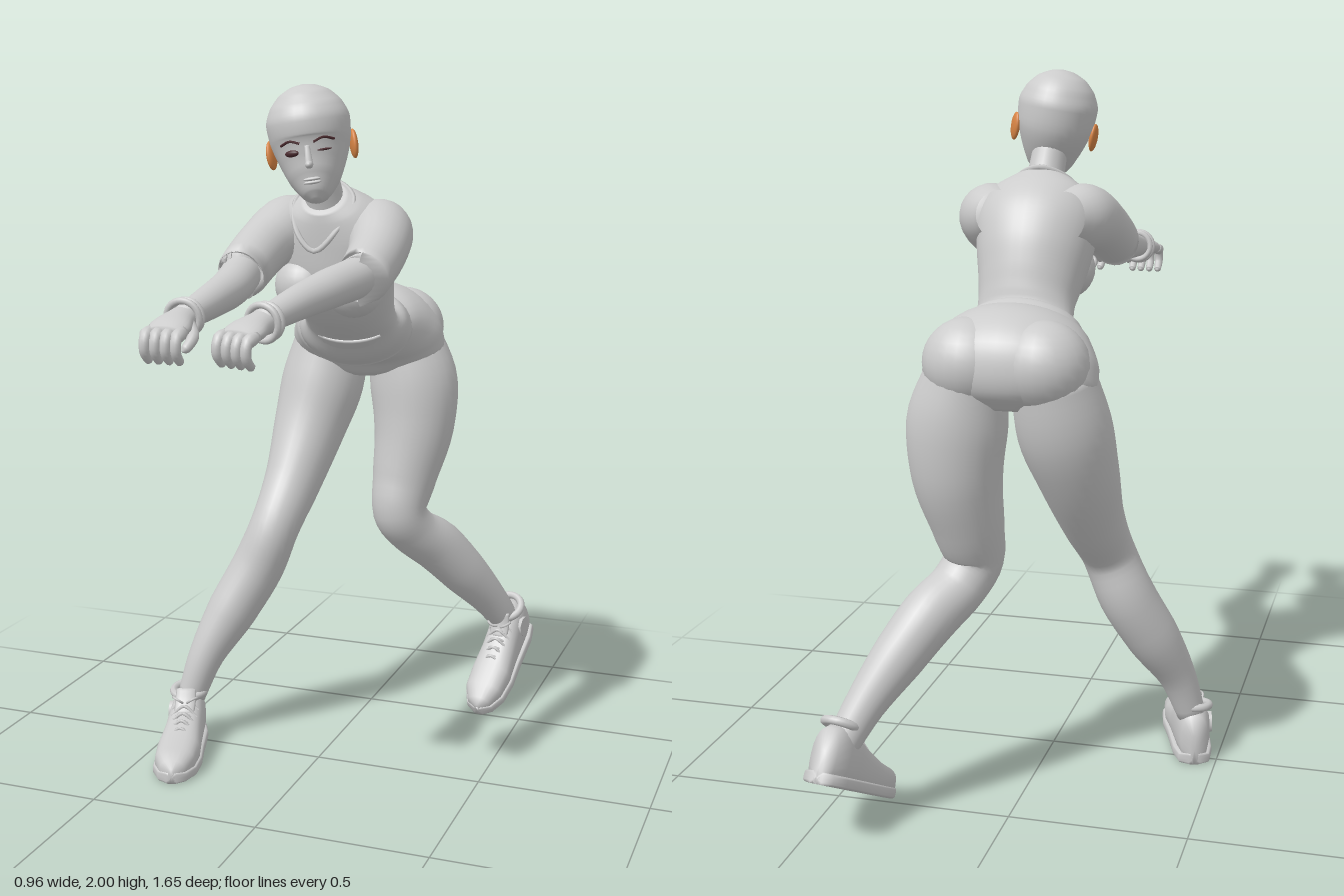
import * as THREE from 'three';

const V = (x, y, z) => new THREE.Vector3(x, y, z);
const grey = new THREE.MeshStandardMaterial({ color: 0xcccccc });
const cloth = new THREE.MeshStandardMaterial({ color: 0xcccccc, side: THREE.DoubleSide });
const orange = new THREE.MeshStandardMaterial({ color: 0xd98545 });
const dark = new THREE.MeshStandardMaterial({ color: 0x4a2a2e });

function add(parent, name, geo, mat = grey) {
  const m = new THREE.Mesh(geo, mat);
  m.name = name;
  parent.add(m);
  return m;
}
const spline = pts => new THREE.CatmullRomCurve3(pts);

// Skin through rings { c: centre, a: half axis, b: half axis }; p < 1 squares the ring
function loft(rings, { seg = 24, p = 1, caps = true } = {}) {
  const pos = [], idx = [], n = rings.length;
  const pw = v => Math.sign(v) * Math.abs(v) ** p;
  const dir = rings[n - 1].c.clone().sub(rings[0].c);
  const flip = V().crossVectors(rings[n >> 1].a, rings[n >> 1].b).dot(dir) < 0 ? -1 : 1;
  for (const { c, a, b } of rings) for (let j = 0; j < seg; j++) {
    const t = j / seg * Math.PI * 2;
    const q = c.clone().addScaledVector(a, pw(Math.cos(t))).addScaledVector(b, flip * pw(Math.sin(t)));
    pos.push(q.x, q.y, q.z);
  }
  for (let i = 0; i < n - 1; i++) for (let j = 0; j < seg; j++) {
    const k = (j + 1) % seg, u = i * seg, w = u + seg;
    idx.push(u + j, u + k, w + j, u + k, w + k, w + j);
  }
  if (caps) {
    const s = n * seg, e = (n - 1) * seg;
    for (const r of [rings[0], rings[n - 1]]) pos.push(r.c.x, r.c.y, r.c.z);
    for (let j = 0; j < seg; j++) {
      const k = (j + 1) % seg;
      idx.push(s, k, j, s + 1, e + j, e + k);
    }
  }
  const g = new THREE.BufferGeometry();
  g.setAttribute('position', new THREE.Float32BufferAttribute(pos, 3));
  g.setIndex(idx);
  g.computeVertexNormals();
  return g;
}

// Limb from rows [x, y, z, half width, half depth], rings square to the path
function limb(rows, opt = {}) {
  const path = spline(rows.map(r => V(r[0], r[1], r[2])));
  const size = spline(rows.map(r => V(r[3], r[4] ?? r[3], 0)));
  const n = (rows.length - 1) * 5, rings = [];
  for (let i = 0; i <= n; i++) {
    const c = path.getPoint(i / n), d = path.getTangent(i / n), s = size.getPoint(i / n);
    const a = V(1, 0, 0).addScaledVector(d, -d.x).normalize();
    rings.push({ c, a: a.clone().multiplyScalar(s.x), b: V().crossVectors(d, a).multiplyScalar(s.y) });
  }
  return loft(rings, opt);
}

// Trunk from rows [back z, back y, front z, front y, centre x, half width]
function trunk(rows, opt) {
  const back = spline(rows.map(r => V(0, r[1], r[0])));
  const front = spline(rows.map(r => V(0, r[3], r[2])));
  const wide = spline(rows.map(r => V(r[4], r[5], 0)));
  const n = (rows.length - 1) * 5, rings = [];
  for (let i = 0; i <= n; i++) {
    const B = back.getPoint(i / n), F = front.getPoint(i / n), w = wide.getPoint(i / n);
    const c = B.clone().add(F).multiplyScalar(0.5);
    c.x = w.x;
    rings.push({ c, a: V(w.y, 0, 0), b: F.sub(B).multiplyScalar(0.5) });
  }
  return loft(rings, { seg: 36, ...opt });
}

function ball(parent, name, [x, y, z], [sx, sy, sz], mat) {
  const m = add(parent, name, new THREE.SphereGeometry(1, 24, 16), mat);
  m.position.set(x, y, z);
  m.scale.set(sx, sy, sz);
  return m;
}
const tube = (pts, r, closed = false) =>
  new THREE.TubeGeometry(new THREE.CatmullRomCurve3(pts.map(q => V(...q)), closed), closed ? 40 : 14, r, 6, closed);

function head() {
  const g = new THREE.Group();
  g.name = 'head';
  // rows: y, z centre, half width, half depth
  const rows = [[-.178, .075, .012, .014], [-.165, .066, .036, .04], [-.125, .04, .069, .075], [-.075, .016, .092, .098],
    [-.02, 0, .11, .117], [.03, -.002, .114, .121], [.075, -.004, .098, .105], [.108, -.004, .068, .074], [.126, -.004, .03, .033], [.13, -.004, .003, .003]];
  add(g, 'skull', limb(rows.map(r => [0, r[0], r[1], r[2], r[3]]), { seg: 32 }));
  ball(g, 'noseTip', [0, -.078, .126], [.011, .011, .018]);
  add(g, 'noseBridge', limb([[0, -.03, .11, .007], [0, -.055, .119, .009], [0, -.08, .126, .011]], { seg: 10 }));
  for (const y of [-.117, -.126]) ball(g, 'lip', [0, y, .111], [.024, .005, .008]);
  for (const s of [-1, 1]) {
    const ear = ball(g, 'ear', [s * .113, -.045, -.012], [.011, .04, .026], orange);
    ear.rotation.set(-.15, s * .3, 0);
    // the left eye is winking
    ball(g, 'eye', [s * .044, -.045, .1], [.021, s > 0 ? .003 : .009, .008], dark).rotation.y = s * .45;
    add(g, 'eyebrow', tube([[s * .018, -.022, .115], [s * .045, -.013, .107], [s * .072, -.022, .088]], .0035), dark);
  }
  g.position.set(.028, 1.87, .145);
  g.rotation.set(0, .26, .15);
  return g;
}

function hand(side) {
  const g = new THREE.Group();
  g.name = 'hand';
  add(g, 'palm', limb([[0, 0, -.03, .034, .032], [0, 0, .02, .042, .03], [0, -.005, .07, .055, .027], [0, -.012, .108, .05, .018]]));
  for (let i = 0; i < 4; i++) {
    const x = -.042 + .028 * i;
    add(g, 'finger', limb([[x, -.008, .085, .014], [x, -.018, .125, .014], [x, -.05, .132, .013], [x, -.078, .112, .011], [x, -.082, .106, .003]], { seg: 10 }));
  }
  const s = -side;
  add(g, 'thumb', limb([[s * .03, -.008, .02, .016], [s * .056, -.028, .06, .015], [s * .05, -.05, .095, .012], [s * .046, -.055, .103, .003]], { seg: 10 }));
  for (const [z, r] of [[-.028, .042], [-.006, .045]])
    add(g, 'bracelet', new THREE.TorusGeometry(r, .009, 8, 28)).position.z = z;
  return g;
}

// Trainer: origin under the ankle, toe towards +z
function shoe(side) {
  const g = new THREE.Group();
  g.name = 'shoe';
  const rows = [[-.064, .09, .012], [-.052, .15, .04], [0, .17, .052], [.06, .15, .055], [.12, .122, .058],
    [.2, .096, .065], [.27, .085, .06], [.315, .066, .038], [.332, .045, .01]];
  const body = (height, grow) => rows.map(([z, h, w]) => {
    const y = height ?? h;
    return { c: V(0, y / 2, z), a: V(w + grow, 0, 0), b: V(0, y / 2, 0) };
  });
  add(g, 'upper', loft(body(null, 0), { p: .8 }));
  add(g, 'sole', loft(body(.034, .006), { p: .4 }));
  const collar = add(g, 'ankleCollar', new THREE.TorusGeometry(.047, .012, 8, 28));
  collar.rotation.x = Math.PI / 2 + .15;
  collar.position.set(0, .163, .002);
  add(g, 'tongue', limb([[0, .12, .1, .03, .01], [0, .15, .07, .032, .01], [0, .185, .05, .03, .008]], { seg: 12 }));
  for (let i = 0; i < 5; i++) {
    const z = .065 + .027 * i, h = .152 - .0125 * i;
    for (const s of [-1, 1])
      add(g, 'lace', tube([[-.04, h - .025, z + s * .009], [0, h + .005, z], [.04, h - .025, z - s * .009]], .0045));
  }
  for (const s of [-1, 1]) {
    const loop = add(g, 'laceLoop', new THREE.TorusGeometry(.017, .004, 6, 16));
    loop.position.set(s * .022, .157, .075);
    loop.rotation.set(1.1, s * .5, 0);
  }
  const patch = add(g, 'anklePatch', new THREE.CylinderGeometry(.032, .032, .012, 8));
  patch.rotation.z = Math.PI / 2;
  patch.position.set(side * .051, .1, .02);
  return g;
}

export function createModel() {
  const model = new THREE.Group();
  model.name = 'lungingFigure';
  model.add(head());
  add(model, 'neck', limb([[.045, 1.62, .03, .07], [.042, 1.7, .07, .053], [.035, 1.78, .1, .05], [.03, 1.84, .12, .05]]));

  // Hips in shorts
  add(model, 'shorts', trunk([[-.5, 1.15, -.34, 1.12, .012, .09], [-.55, 1.2, -.31, 1.135, .012, .19], [-.562, 1.26, -.28, 1.165, .012, .238],
    [-.54, 1.34, -.25, 1.175, .012, .235], [-.46, 1.4, -.215, 1.18, .015, .212], [-.36, 1.412, -.185, 1.19, .02, .188],
    [-.27, 1.385, -.14, 1.22, .035, .155], [-.2, 1.38, -.08, 1.27, .048, .13]]));
  for (const s of [-1, 1]) ball(model, 'buttock', [.012 + s * .1, 1.265, -.45], [.125, .12, .118]);

  // Shirt with a loose rolled hem
  add(model, 'shirt', trunk([[-.3, 1.395, -.205, 1.175, .025, .178], [-.255, 1.408, -.15, 1.205, .032, .168], [-.21, 1.385, -.09, 1.265, .045, .14], [-.195, 1.43, -.03, 1.3, .05, .137],
    [-.178, 1.5, .03, 1.34, .05, .147], [-.152, 1.575, .085, 1.4, .05, .163], [-.1, 1.655, .11, 1.47, .05, .175],
    [-.035, 1.706, .12, 1.55, .048, .163], [.01, 1.728, .125, 1.62, .045, .105], [.03, 1.735, .125, 1.65, .045, .06]]), cloth);
  for (const s of [-1, 1]) ball(model, 'bust', [.05 + s * .073, 1.445, .05], [.085, .085, .082]);
  add(model, 'neckline', tube([[.045, 1.735, .015], [-.04, 1.69, .06], [-.02, 1.6, .118], [.035, 1.55, .13],
    [.09, 1.6, .118], [.125, 1.69, .06]], .008, true));

  // Arms stretched forward, with short sleeves
  const arms = {
    right: [[-.07, 1.61, -.03, .08], [-.11, 1.58, .08, .07], [-.122, 1.51, .24, .056], [-.106, 1.475, .38, .054, .052], [-.103, 1.455, .52, .046, .044], [-.108, 1.432, .68, .034, .032]],
    left: [[.16, 1.61, -.03, .08], [.205, 1.57, .08, .07], [.212, 1.51, .22, .057], [.175, 1.485, .39, .055, .052], [.142, 1.465, .52, .046, .044], [.105, 1.435, .68, .034, .032]],
  };
  const sleeves = {
    right: [[-.05, 1.605, -.06, .07], [-.085, 1.6, .01, .092], [-.115, 1.56, .12, .078], [-.122, 1.495, .275, .068, .072], [-.122, 1.497, .27, .058, .062]],
    left: [[.14, 1.605, -.06, .07], [.185, 1.595, .01, .092], [.212, 1.545, .12, .079], [.216, 1.495, .25, .069, .073], [.215, 1.497, .245, .058, .062]],
  };
  // Right leg leads, left leg pushes off behind
  const legs = {
    right: [[-.105, 1.24, -.42, .11, .12], [-.13, 1.09, -.39, .128, .13], [-.155, .95, -.335, .112, .115], [-.175, .8, -.245, .088, .095],
      [-.2, .67, -.15, .076, .08], [-.25, .54, -.13, .08, .086], [-.315, .41, -.085, .076, .082], [-.38, .27, -.025, .054, .058], [-.42, .14, .005, .042, .045]],
    left: [[.12, 1.24, -.44, .11, .11], [.152, 1.09, -.437, .137, .124], [.157, .95, -.425, .124, .12], [.14, .8, -.39, .1, .1],
      [.135, .695, -.362, .084, .083], [.165, .628, -.4, .08, .076], [.225, .56, -.478, .08, .084], [.29, .465, -.55, .073, .078], [.36, .35, -.635, .055, .058], [.415, .23, -.715, .043, .045]],
  };
  for (const [name, side] of [['right', -1], ['left', 1]]) {
    add(model, name + 'Arm', limb(arms[name]));
    add(model, name + 'Sleeve', limb(sleeves[name], { caps: false }), cloth);
    add(model, name + 'Leg', limb(legs[name], { seg: 28 }));
    const h = hand(side);
    h.name = name + 'Hand';
    h.position.set(side < 0 ? -.108 : .105, 1.432, .68);
    h.rotation.set(.1, side < 0 ? 0 : -.2, 0);
    model.add(h);
    const f = shoe(side);
    f.name = name + 'Shoe';
    f.rotation.order = 'YXZ';
    if (side < 0) {
      f.position.set(-.425, 0, .01);
      f.rotation.y = .27;
    } else {
      f.position.set(.42, .17, -.77);
      f.rotation.set(.52, -.17, 0);
    }
    model.add(f);
  }
  return model;
}
